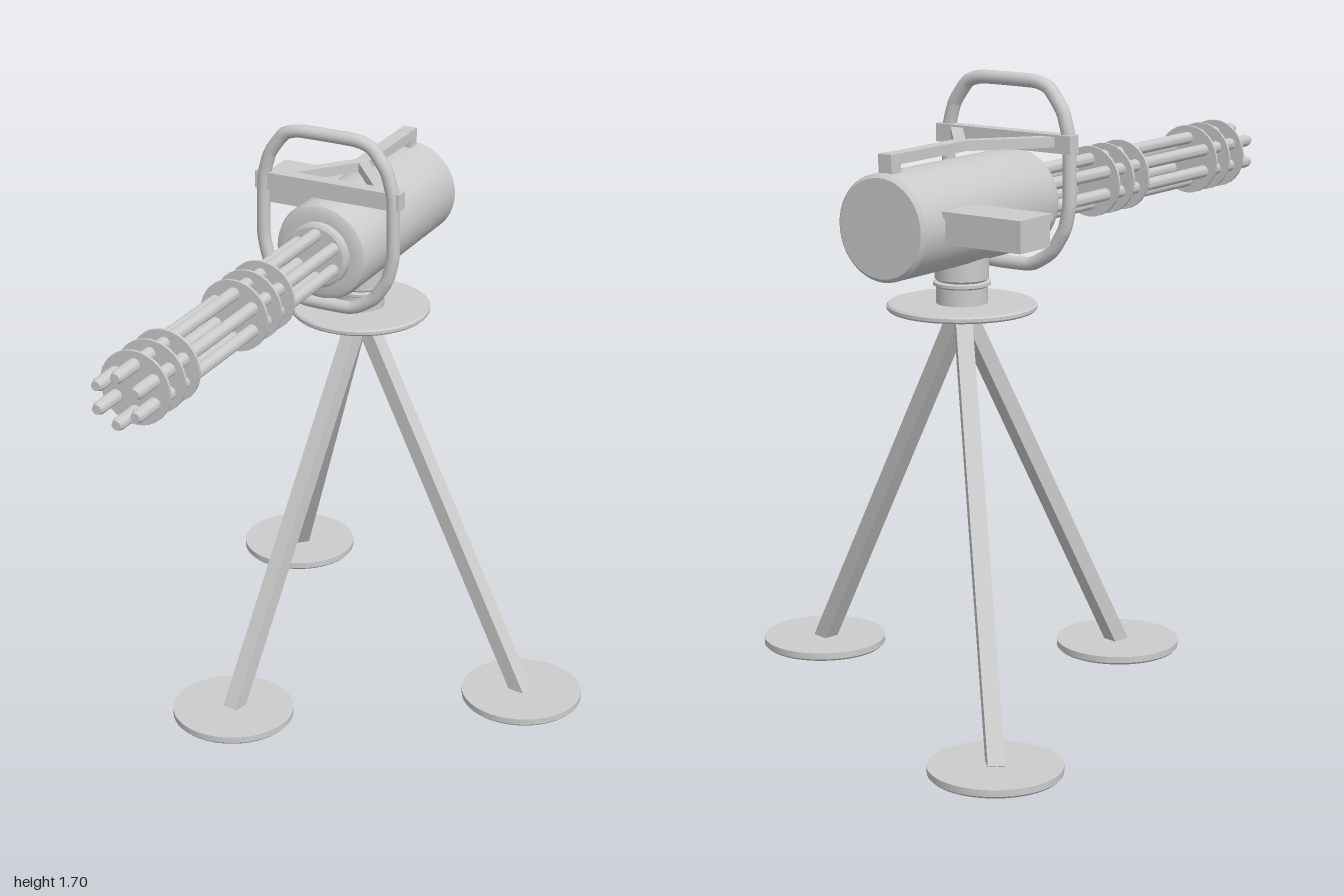
import * as THREE from 'three';
import { toCreasedNormals } from 'three/addons/utils/BufferGeometryUtils.js';

const AX = -0.08;   // x of the gun axis
const AY = 1.354;   // height of the gun axis
const PZ = -0.378;  // z of the tripod pivot

export function createModel() {
  const model = new THREE.Group();
  const material = new THREE.MeshStandardMaterial({ color: 0xcccccc, side: THREE.DoubleSide });

  function add(name, geometry, x = 0, y = 0, z = 0) {
    const mesh = new THREE.Mesh(geometry, material);
    mesh.name = name;
    mesh.position.set(x, y, z);
    model.add(mesh);
    return mesh;
  }

  // Lathe from [radius, height] pairs, with crisp edges
  function turned(profile, segments = 40) {
    const points = profile.map(([r, h]) => new THREE.Vector2(r, h));
    return toCreasedNormals(new THREE.LatheGeometry(points, segments), 0.5);
  }

  // Lathe laid along z; heights become z positions
  const turnedZ = (profile, segments) => turned(profile, segments).rotateX(Math.PI / 2);

  // Square bar running between two points
  function bar(name, from, to, width, height) {
    const a = new THREE.Vector3(...from), b = new THREE.Vector3(...to);
    const mesh = add(name, new THREE.BoxGeometry(width, height, a.distanceTo(b)));
    mesh.position.copy(a).add(b).multiplyScalar(0.5);
    mesh.lookAt(b);
    return mesh;
  }

  // Main housing with bevelled ends and the stepped front hub
  add('housing', turnedZ([
    [0, -0.727], [0.132, -0.727], [0.142, -0.717], [0.142, -0.14],
    [0.136, -0.122], [0.122, -0.115], [0.094, -0.115], [0.094, -0.095],
    [0.085, -0.09], [0, -0.09],
  ], 48), AX, AY, 0);

  // Six barrels around the axis
  const barrel = turnedZ([[0, -0.12], [0.018, -0.12], [0.018, 0.985], [0.013, 1], [0, 1]], 14);
  for (let i = 0; i < 6; i++) {
    const a = Math.PI / 2 + i * Math.PI / 3;
    add('barrel', barrel, AX + 0.064 * Math.cos(a), AY + 0.064 * Math.sin(a), 0);
  }

  // Two sets of three clamp plates
  const clamp = new THREE.CylinderGeometry(0.101, 0.101, 0.008, 32).rotateX(Math.PI / 2);
  for (const z of [0.23, 0.305, 0.382, 0.75, 0.822, 0.9]) add('barrelClamp', clamp, AX, AY, z);

  // Tubular hoop around the housing; half outline mirrored about the axis
  const half = [
    [0.085, 1.685], [0.135, 1.67], [0.18, 1.61], [0.2, 1.54], [0.203, 1.45],
    [0.203, 1.36], [0.187, 1.29], [0.145, 1.225], [0.075, 1.185],
  ];
  const outline = [...half, ...half.map(([x, y]) => [-x, y]).reverse()]
    .map(([x, y]) => new THREE.Vector3(AX + x, y, -0.166));
  const hoop = new THREE.CatmullRomCurve3(outline, true, 'catmullrom', 0.25);
  add('hoopHandle', new THREE.TubeGeometry(hoop, 90, 0.019, 12, true));

  // Carrying frame: crossbar, two converging arms, rear rail and its post
  add('crossbar', new THREE.BoxGeometry(0.448, 0.05, 0.04), AX, 1.525, -0.175);
  for (const s of [-1, 1]) {
    bar('frameArm', [AX + s * 0.165, 1.53, -0.18], [AX, 1.53, -0.385], 0.032, 0.028);
  }
  add('frameRail', new THREE.BoxGeometry(0.042, 0.028, 0.33), AX, 1.53, -0.54);
  add('railPost', new THREE.BoxGeometry(0.042, 0.07, 0.04), AX, 1.51, -0.683);

  // Feed box with a slightly wider lid on the model's right
  add('feedBox', new THREE.BoxGeometry(0.26, 0.07, 0.13), -0.328, 1.35, -0.57);
  add('feedLid', new THREE.BoxGeometry(0.264, 0.018, 0.142), -0.33, 1.392, -0.57);

  // Swivel pedestal and round platform
  add('swivel', turned([
    [0, 1.1], [0.07, 1.1], [0.07, 1.15], [0.078, 1.155], [0.078, 1.163],
    [0.066, 1.166], [0.073, 1.172], [0.073, 1.245], [0, 1.245],
  ]), AX, 0, PZ);
  add('platform', turned([
    [0, 1.086], [0.198, 1.086], [0.203, 1.091], [0.203, 1.1], [0.198, 1.105], [0, 1.105],
  ], 48), AX, 0, PZ);

  // Tripod legs and foot discs
  const foot = turned([[0, 0], [0.17, 0], [0.176, 0.006], [0.176, 0.024], [0, 0.024]], 48);
  for (const [x, z] of [[-0.515, -0.824], [0.512, -0.265], [-0.2, 0.207]]) {
    add('foot', foot, x, 0, z);
    bar('leg', [AX, 1.09, PZ], [x, 0.016, z], 0.045, 0.045);
  }

  return model;
}
